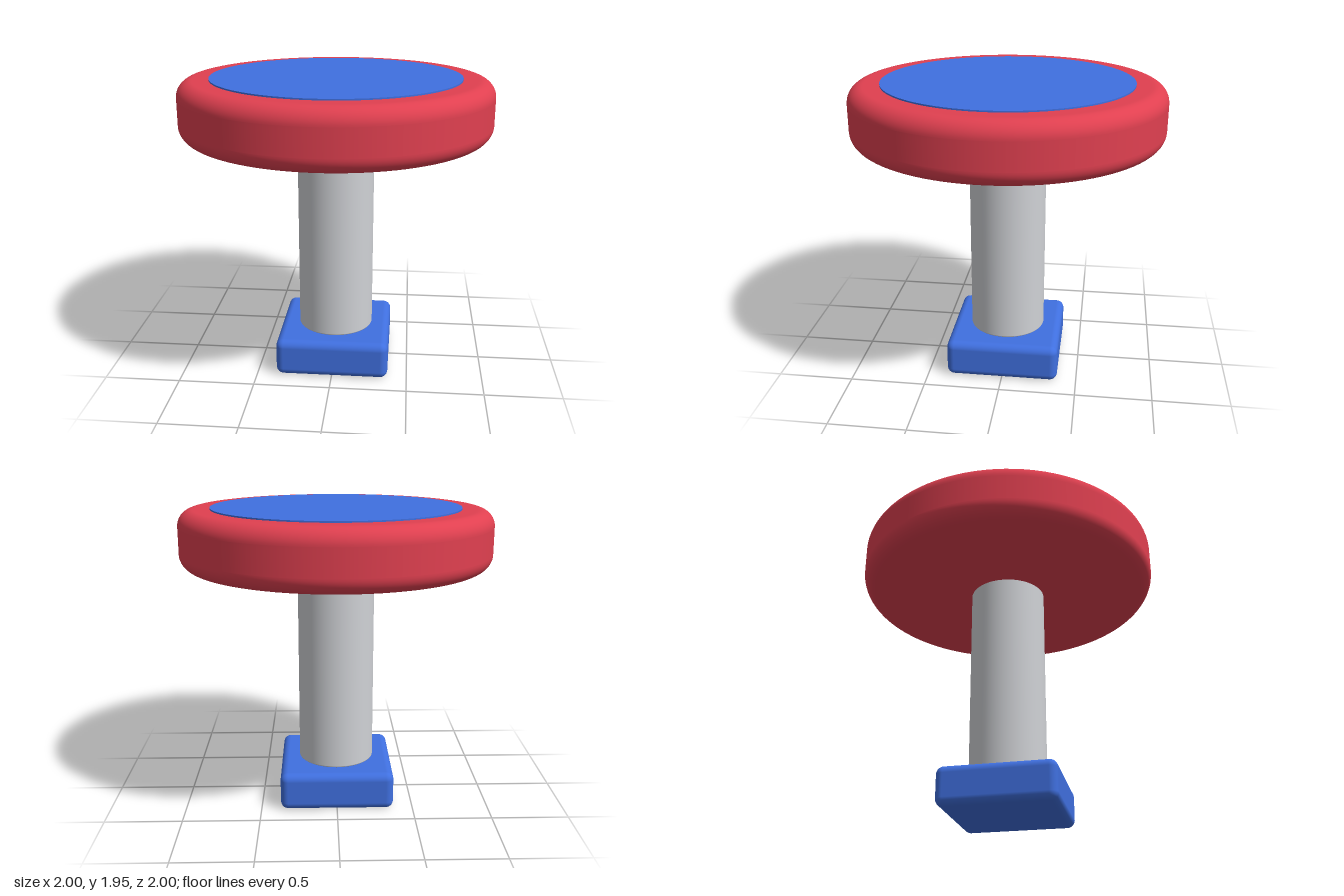
import * as THREE from 'three';
import { RoundedBoxGeometry } from 'three/addons/geometries/RoundedBoxGeometry.js';

const material = (name, color) => {
  const m = new THREE.MeshStandardMaterial({ color });
  m.name = name;
  return m;
};

// Solid disc or post with rounded rims, turned from y0 to y1
function roundedCylinder(radius, y0, y1, bevel, segments) {
  const path = new THREE.Path();
  path.moveTo(0, y0);
  path.lineTo(radius - bevel, y0);
  path.absarc(radius - bevel, y0 + bevel, bevel, -Math.PI / 2, 0, false);
  path.lineTo(radius, y1 - bevel);
  path.absarc(radius - bevel, y1 - bevel, bevel, 0, Math.PI / 2, false);
  path.lineTo(0, y1);
  // Extra points hold the flat faces and the wall straight beside the rims
  const points = [];
  for (const p of path.getPoints(8)) {
    const last = points[points.length - 1];
    if (last && last.distanceTo(p) < 1e-5) continue;
    if (last && last.distanceTo(p) > bevel) {
      points.push(last.clone().lerp(p, 0.01), last.clone().lerp(p, 0.99));
    }
    points.push(p);
  }
  return new THREE.LatheGeometry(points, segments);
}

export function createModel() {
  const red = material('red', 0xe04050);
  const blue = material('blue', 0x4070e0);
  const grey = material('light grey', 0xd0d2d6);

  const group = new THREE.Group();
  const add = (name, geometry, mat, y = 0) => {
    const mesh = new THREE.Mesh(geometry, mat);
    mesh.name = name;
    mesh.position.y = y;
    group.add(mesh);
  };

  // Square foot
  add('base', new RoundedBoxGeometry(0.745, 0.25, 0.745, 5, 0.05), blue, 0.125);

  // Round column
  add('post', roundedCylinder(0.25, 0.25, 1.6, 0.01, 64), grey);

  // Thick round top with soft rims
  add('top', roundedCylinder(1, 1.573, 1.945, 0.1, 96), red);

  // Thin round pad on the top
  add('pad', new THREE.CylinderGeometry(0.797, 0.797, 0.009, 96), blue, 1.9495);

  return group;
}
